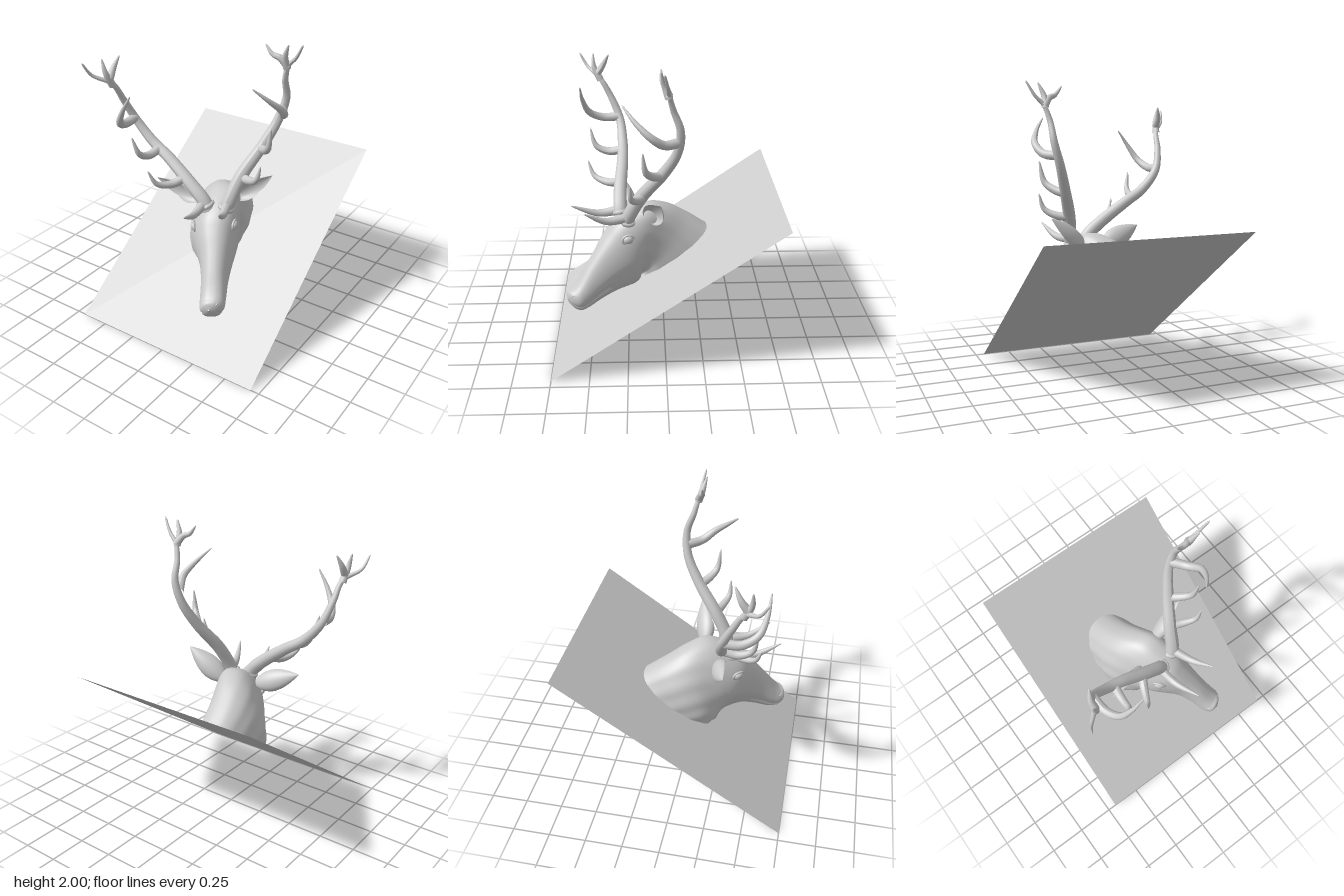
import * as THREE from 'three';

const V = (x, y, z) => new THREE.Vector3(x, y, z);
const grey = new THREE.MeshStandardMaterial({ color: 0xcccccc });
const greyThin = new THREE.MeshStandardMaterial({ color: 0xcccccc, side: THREE.DoubleSide });
const boardY = z => 0.53 - 0.707 * z;

function add(parent, name, geo, mat = grey) {
  const m = new THREE.Mesh(geo, mat);
  m.name = name;
  parent.add(m);
  return m;
}

// Builds an indexed surface from rows of points; closed joins each row into a ring
function loft(rows, closed) {
  const n = rows[0].length, idx = [];
  for (let i = 0; i < rows.length - 1; i++)
    for (let j = 0; j < (closed ? n : n - 1); j++) {
      const k = (j + 1) % n, a = i * n + j, b = i * n + k, c = a + n, d = b + n;
      idx.push(a, c, b, b, c, d);
    }
  const g = new THREE.BufferGeometry().setFromPoints(rows.flat());
  g.setIndex(idx);
  g.computeVertexNormals();
  return g;
}

// Tapered horn: a tube whose rings shrink along its path
function horn(points, r0, r1, power = 1) {
  const curve = new THREE.CatmullRomCurve3(points.map(p => V(...p)));
  const seg = points.length * 8, rad = 12;
  const g = new THREE.TubeGeometry(curve, seg, 1, rad);
  const pos = g.attributes.position, p = V(0, 0, 0);
  for (let i = 0; i <= seg; i++) {
    const t = i / seg, c = curve.getPointAt(t);
    const r = (r1 + (r0 - r1) * (1 - Math.pow(t, power))) * (i === seg ? 0.05 : 1);
    for (let j = 0; j <= rad; j++) {
      const k = i * (rad + 1) + j;
      p.fromBufferAttribute(pos, k).sub(c).multiplyScalar(r).add(c);
      pos.setXYZ(k, p.x, p.y, p.z);
    }
  }
  g.computeVertexNormals();
  return g;
}

// Head and neck sections from nose to board: top point, bottom point, [half width, jaw narrowing, yaw]
const sections = [
  [[.312, .395, .655], [.312, .385, .655], [.004, 0, .48]],
  [[.310, .435, .643], [.303, .330, .630], [.055, 0, .48]],
  [[.303, .458, .612], [.292, .293, .585], [.080, .1, .48]],
  [[.285, .505, .575], [.265, .295, .530], [.084, .2, .48]],
  [[.250, .595, .520], [.220, .340, .430], [.088, .25, .48]],
  [[.210, .695, .455], [.170, .372, .330], [.105, .3, .48]],
  [[.165, .795, .390], [.100, .375, .230], [.138, .35, .47]],
  [[.135, .875, .325], [.050, .370, .190], [.158, .35, .45]],
  [[.100, .940, .220], [.010, .370, .190], [.165, .25, .38]],
  [[.060, .975, .105], [-.020, .380, .200], [.168, .1, .25]],
  [[.000, .935, -.020], [-.040, .390, .190], [.182, 0, .12]],
  [[-.040, .850, -.150], [-.050, .385, .190], [.190, 0, .04]],
  [[-.060, .742, -.300], [-.045, .382, .210], [.192, 0, 0]],
];

function headGeometry() {
  const [tops, bottoms, params] = [0, 1, 2].map(k =>
    new THREE.CatmullRomCurve3(sections.map(s => V(...s[k])), false, 'catmullrom', 0.5));
  const rows = [], n = 64, steps = 84, last = sections.length - 1;
  for (let i = 0; i <= steps; i++) {
    const t = i / steps, s = t * last;
    const T = tops.getPoint(t), B = bottoms.getPoint(t), q = params.getPoint(t);
    const side = V(Math.cos(q.z), 0.2 * q.z, -Math.sin(q.z));
    const mid = T.clone().add(B).multiplyScalar(0.5), half = T.clone().sub(B).multiplyScalar(0.5);
    const row = [];
    for (let j = 0; j < n; j++) {
      const a = j / n * Math.PI * 2, c = Math.cos(a), h = Math.sin(a);
      let w = q.x * Math.sign(c) * Math.pow(Math.abs(c), 0.82);
      w *= 1 - q.y * Math.max(0, -h);
      // Mouth groove
      if (s > 0.8 && s < 4.6) w *= 1 - 0.16 * Math.exp(-Math.pow((h + 0.45) / 0.08, 2));
      // Soft folds of fur on the neck
      if (s > 8) w *= 1 + 0.018 * Math.min(1, (s - 8) / 2) * Math.sin(a * 13 + s);
      const p = mid.clone().addScaledVector(side, w).addScaledVector(half, h);
      p.y = Math.max(p.y, boardY(p.z) + 0.001);
      row.push(p);
    }
    rows.push(row);
  }
  return loft(rows, true);
}

// Cupped leaf-shaped ear opening towards the given direction
function earGeometry(base, tip, open) {
  const axis = tip.clone().sub(base), dir = axis.clone().normalize();
  const n = open.clone().addScaledVector(dir, -open.dot(dir)).normalize();
  const side = V(0, 0, 0).crossVectors(dir, n), rows = [];
  for (let i = 0; i <= 20; i++) {
    const u = i / 20;
    const w = 0.03 * (1 - u) + 0.058 * Math.pow(Math.sin(Math.PI * Math.pow(u, 0.85)), 0.9);
    const row = [];
    for (let j = 0; j <= 16; j++) {
      const a = (j / 16 * 2 - 1) * (2.7 - 1.3 * Math.min(1, u * 2.2));
      row.push(base.clone().addScaledVector(axis, u)
        .addScaledVector(side, w * Math.sin(a))
        .addScaledVector(n, w * (0.25 - 0.7 * Math.cos(a))));
    }
    rows.push(row);
  }
  return loft(rows, false);
}

// Each antler: main beam first, then tines from the brow to the crown
const antlers = {
  leftAntler: {
    beam: [[.15, .85, .25], [.18, .93, .235], [.22, 1.1, .145], [.295, 1.285, .01], [.355, 1.45, -.075],
      [.40, 1.605, -.09], [.412, 1.74, -.045], [.445, 1.84, -.02], [.50, 1.90, -.01], [.555, 1.995, .01]],
    tines: [
      [[.18, .92, .25], [.235, .925, .38], [.30, 1.01, .52]],
      [[.22, 1.09, .14], [.30, 1.10, .175], [.375, 1.145, .215], [.41, 1.25, .22]],
      [[.29, 1.265, .02], [.345, 1.285, .07], [.40, 1.335, .12], [.43, 1.475, .14]],
      [[.375, 1.52, -.08], [.44, 1.53, .01], [.472, 1.59, .09], [.435, 1.67, .18], [.362, 1.758, .26]],
      [[.44, 1.83, -.02], [.40, 1.885, .005], [.355, 1.905, .02], [.307, 1.962, .025]],
      [[.435, 1.82, -.02], [.432, 1.89, .005], [.468, 1.985, .03]],
    ],
  },
  rightAntler: {
    beam: [[.07, .85, .285], [.03, .93, .295], [-.07, 1.02, .295], [-.255, 1.155, .28], [-.39, 1.245, .28],
      [-.505, 1.38, .30], [-.55, 1.525, .36], [-.572, 1.655, .435], [-.655, 1.72, .525], [-.682, 1.81, .58]],
    tines: [
      [[.03, .91, .30], [.055, .90, .44], [.11, .98, .62]],
      [[-.12, 1.055, .29], [-.165, 1.03, .38], [-.21, 1.06, .475], [-.245, 1.16, .52]],
      [[-.335, 1.205, .28], [-.345, 1.19, .38], [-.35, 1.23, .465], [-.375, 1.355, .505]],
      [[-.51, 1.39, .31], [-.50, 1.39, .42], [-.46, 1.44, .51], [-.395, 1.545, .55], [-.318, 1.662, .56]],
      [[-.572, 1.64, .43], [-.585, 1.735, .475], [-.605, 1.825, .48]],
      [[-.575, 1.69, .45], [-.575, 1.75, .41], [-.553, 1.828, .37]],
    ],
  },
};

export function createModel() {
  const model = new THREE.Group();
  model.name = 'mountedStagHead';

  // Backing board
  const board = add(model, 'backBoard', new THREE.PlaneGeometry(1.38, 1.837), greyThin);
  board.position.y = 0.53;
  board.rotation.x = -Math.atan2(1.5, 1.06);

  const head = new THREE.Group();
  head.name = 'head';
  model.add(head);
  add(head, 'faceAndNeck', headGeometry());

  // Ears
  add(head, 'leftEar', earGeometry(V(.13, .90, .085), V(.385, 1.1, .03), V(.75, -.3, .6)), greyThin);
  add(head, 'rightEar', earGeometry(V(-.07, .875, .20), V(-.358, .985, .29), V(-.1, -.3, .95)), greyThin);

  // Eyes with lids, and nostrils
  const side = V(.88, .09, -.46).normalize(), front = V(.4, -.35, .8);
  const place = (m, p, toward) => {
    m.position.copy(p);
    m.lookAt(p.clone().add(toward));
    return m;
  };
  for (const [s, label, eye, nose] of [
    [1, 'left', V(.232, .785, .24), V(.348, .42, .60)],
    [-1, 'right', V(-.012, .752, .352), V(.252, .405, .642)],
  ]) {
    const out = side.clone().multiplyScalar(s).addScaledVector(front, 0.25);
    place(add(head, label + 'Eye', new THREE.SphereGeometry(.034, 24, 16)), eye, out).scale.set(1, .85, .7);
    place(add(head, label + 'Eyelid', new THREE.TorusGeometry(.036, .008, 10, 28)), eye, out).scale.set(1.1, .9, 1);
    const flare = side.clone().multiplyScalar(s).addScaledVector(front, 0.8);
    place(add(head, label + 'Nostril', new THREE.TorusGeometry(.015, .005, 8, 20)), nose, flare).scale.set(1.3, .8, 1);
  }

  // Antlers with a burr around each foot
  for (const [name, { beam, tines }] of Object.entries(antlers)) {
    const group = new THREE.Group();
    group.name = name;
    model.add(group);
    add(group, 'beam', horn(beam, .047, .006, 1.5));
    tines.forEach((t, i) => add(group, 'tine', horn(t, i < 4 ? .031 : .025, .004, 1.6)));
    const foot = V(...beam[0]), dir = V(...beam[1]).sub(foot);
    place(add(group, 'burr', new THREE.TorusGeometry(.042, .016, 10, 24)), foot.addScaledVector(dir, .6), dir);
  }
  return model;
}
